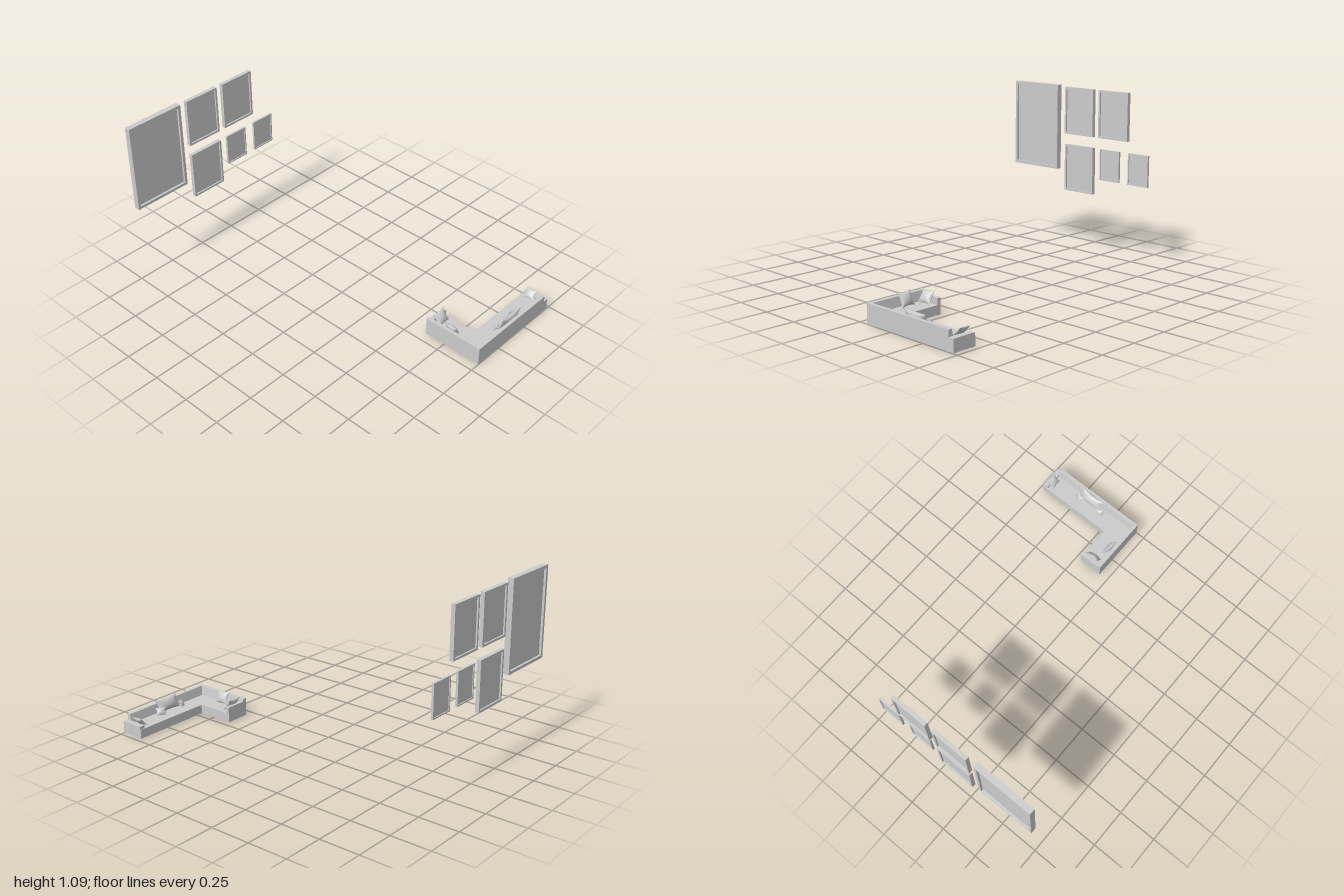
import * as THREE from 'three';
import { mergeVertices } from 'three/addons/utils/BufferGeometryUtils.js';

const material = new THREE.MeshStandardMaterial({ color: 0xcccccc, side: THREE.DoubleSide });

function add(parent, name, geometry) {
  const mesh = new THREE.Mesh(geometry, material);
  mesh.name = name;
  parent.add(mesh);
  return mesh;
}

// Box given by its minimum and maximum corners
function block(parent, name, [x0, y0, z0], [x1, y1, z1]) {
  const g = new THREE.BoxGeometry(x1 - x0, y1 - y0, z1 - z0);
  add(parent, name, g).position.set((x0 + x1) / 2, (y0 + y1) / 2, (z0 + z1) / 2);
}

const polygon = pts => new THREE.Shape(pts.map(p => new THREE.Vector2(...p)));

// Wall frame: rectangular rim with a panel set back from both faces
function pictureFrame(x0, x1, y0, y1, rim, depth, zMid) {
  const group = new THREE.Group();
  group.name = 'pictureFrame';
  const w = x1 - x0, h = y1 - y0;
  const rect = (a, b) => [[-a, -b], [a, -b], [a, b], [-a, b]];
  const shape = polygon(rect(w / 2, h / 2));
  shape.holes.push(polygon(rect(w / 2 - rim, h / 2 - rim).reverse()));
  const g = new THREE.ExtrudeGeometry(shape, { depth, bevelEnabled: false });
  add(group, 'frameRim', g.translate(0, 0, -depth / 2));
  add(group, 'framePanel', new THREE.BoxGeometry(w - 2 * rim, h - 2 * rim, depth * 0.25));
  group.position.set((x0 + x1) / 2, (y0 + y1) / 2, zMid);
  return group;
}

// Square cushion: plump middle, thin seams, corners pulled outward
function pillow(parent, w, h, t, [x, y, z], turn, lean, roll = 0) {
  let g = new THREE.BoxGeometry(2, 2, 2, 14, 14, 1);
  g.deleteAttribute('normal');
  g.deleteAttribute('uv');
  g = mergeVertices(g);
  const p = g.attributes.position;
  for (let i = 0; i < p.count; i++) {
    const u = p.getX(i), v = p.getY(i);
    const puff = 0.05 + 0.95 * Math.pow((1 - u * u) * (1 - v * v), 0.6);
    p.setXYZ(i,
      u * (1 - 0.14 * (1 - v * v)) * w / 2,
      v * (1 - 0.14 * (1 - u * u)) * h / 2,
      p.getZ(i) * puff * t / 2);
  }
  g.computeVertexNormals();
  const mesh = add(parent, 'pillow', g);
  mesh.position.set(x, y, z);
  mesh.rotation.set(-lean, turn, roll, 'YXZ');
}

// L-shaped plan, shrunk by an inset; plan y stands for -z
function plan(i) {
  return [
    [0.06 + i, -1 + i], [0.725 - i, -1 + i], [0.725 - i, -0.85 - i],
    [0.215 - i, -0.85 - i], [0.215 - i, -0.615 - i], [0.06 + i, -0.615 - i],
  ];
}

function slab(shape, y, height) {
  return new THREE.ExtrudeGeometry(shape, { depth: height, bevelEnabled: false })
    .rotateX(-Math.PI / 2).translate(0, y, 0);
}

function sofa() {
  const group = new THREE.Group();
  group.name = 'cornerSofa';

  // Hollow base and seat
  const skirt = polygon(plan(0));
  skirt.holes.push(polygon(plan(0.012).reverse()));
  add(group, 'baseSkirt', slab(skirt, 0.004, 0.04));
  add(group, 'seat', slab(polygon(plan(0)), 0.042, 0.018));
  for (const x of [0.34, 0.515, 0.685]) {
    block(group, 'baseDivider', [x - 0.004, 0.004, 0.86], [x + 0.004, 0.045, 0.99]);
  }
  block(group, 'baseDivider', [0.07, 0.004, 0.845], [0.205, 0.045, 0.853]);

  // Feet below the skirt
  for (const x of [0.07, 0.2, 0.32, 0.36, 0.5, 0.53, 0.67, 0.71]) {
    for (const z of [0.865, 0.985]) {
      block(group, 'foot', [x - 0.01, 0, z - 0.01], [x + 0.01, 0.006, z + 0.01]);
    }
  }
  for (const x of [0.075, 0.2]) block(group, 'foot', [x - 0.01, 0, 0.62], [x + 0.01, 0.006, 0.64]);

  // Backrests: vertical outside, sloping inside
  const profile = polygon([[0, 0.05], [0.034, 0.05], [0.022, 0.117], [0, 0.117]]);
  const rest = length => new THREE.ExtrudeGeometry(profile, { depth: length, bevelEnabled: false });
  add(group, 'sideBackrest', rest(0.385)).position.set(0.06, 0, 0.615);
  add(group, 'longBackrest', rest(0.63).rotateY(Math.PI / 2)).position.set(0.06, 0, 1);

  // Low arm at the long end, taller arm at the short end
  block(group, 'lowArm', [0.69, 0.04, 0.855], [0.725, 0.078, 1]);
  block(group, 'endArm', [0.06, 0.04, 0.615], [0.215, 0.1, 0.638]);

  // Pillows: width, height, thickness, position, turn, lean, roll
  const PI = Math.PI;
  pillow(group, 0.095, 0.085, 0.035, [0.145, 0.098, 0.655], 0, 0.6, 0.05);
  pillow(group, 0.09, 0.085, 0.035, [0.108, 0.1, 0.768], PI / 2, 0.45, 0.04);
  pillow(group, 0.175, 0.085, 0.04, [0.405, 0.103, 0.955], PI, 0.4);
  pillow(group, 0.05, 0.045, 0.02, [0.312, 0.082, 0.928], PI + 0.45, 0.6);
  pillow(group, 0.06, 0.05, 0.022, [0.485, 0.083, 0.928], PI - 0.5, 0.6);
  pillow(group, 0.075, 0.07, 0.025, [0.683, 0.09, 0.905], -PI / 2, 0.8, 0.05);
  return group;
}

export function createModel() {
  const model = new THREE.Group();
  model.name = 'sofaAndWallFrames';

  // x0, x1, y0, y1, rim, depth, middle z
  const frames = [
    [-0.73, -0.352, 0.53, 1.087, 0.018, 0.037, -0.9815],
    [-0.297, -0.06, 0.772, 1.078, 0.013, 0.025, -0.985],
    [-0.015, 0.22, 0.772, 1.078, 0.013, 0.025, -0.985],
    [-0.292, -0.055, 0.397, 0.702, 0.013, 0.025, -0.985],
    [-0.001, 0.155, 0.5, 0.7, 0.008, 0.014, -0.985],
    [0.226, 0.382, 0.5, 0.7, 0.008, 0.014, -0.985],
  ];
  for (const f of frames) model.add(pictureFrame(...f));

  model.add(sofa());
  return model;
}
